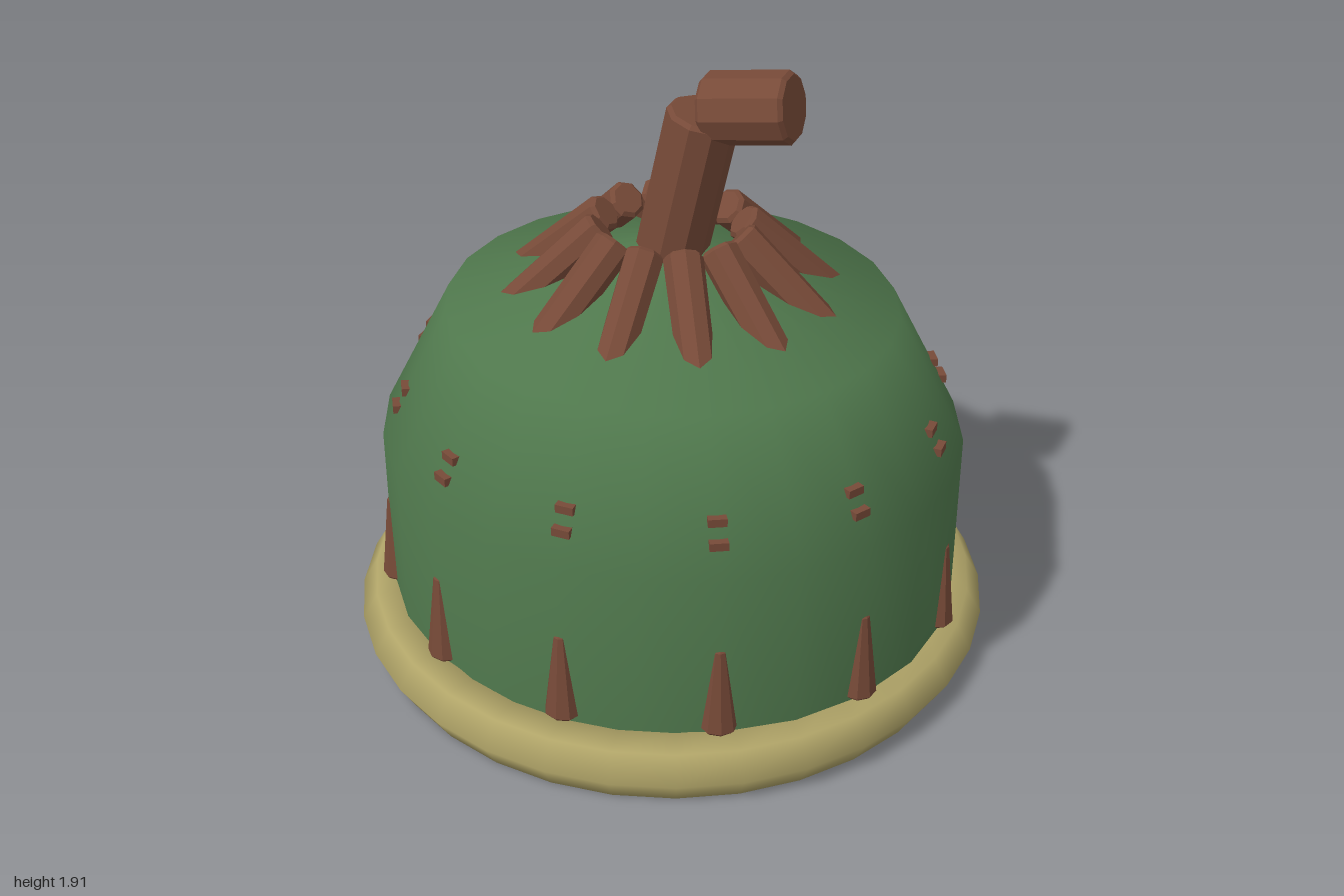
import * as THREE from 'three';

const green = new THREE.MeshStandardMaterial({ name: 'domeGreen', color: 0x4f774c });
const brown = new THREE.MeshStandardMaterial({ name: 'woodBrown', color: 0x774a38, flatShading: true });
const tan = new THREE.MeshStandardMaterial({ name: 'rimTan', color: 0xb0a468, side: THREE.DoubleSide });

function part(name, geometry, material, parent) {
  const mesh = new THREE.Mesh(geometry, material);
  mesh.name = name;
  parent.add(mesh);
  return mesh;
}

// Faceted log along y with slightly chamfered ends, centred on its length
function logGeometry(bottom, top, length, sides, chamfer = 0.012) {
  const h = length / 2;
  const profile = [
    [0, -h], [bottom - chamfer, -h], [bottom, -h + chamfer],
    [top, h - chamfer], [top - chamfer, h], [0, h],
  ].map(([x, y]) => new THREE.Vector2(x, y));
  return new THREE.LatheGeometry(profile, sides);
}

// Log placed between two points in the x-y plane
function logBetween(name, from, to, radius, parent) {
  const a = new THREE.Vector3(...from, 0);
  const b = new THREE.Vector3(...to, 0);
  const axis = b.clone().sub(a);
  const mesh = part(name, logGeometry(radius, radius, axis.length(), 10), brown, parent);
  mesh.position.copy(a).add(b).multiplyScalar(0.5);
  mesh.rotation.z = Math.atan2(-axis.x, axis.y);
}

export function createModel() {
  const model = new THREE.Group();
  model.name = 'stemmedDome';

  // Dome and its fittings are slightly narrower front to back
  const body = new THREE.Group();
  body.name = 'body';
  body.scale.z = 0.94;
  model.add(body);

  const profile = [[0.905, 0.002], [0.905, 0.7], [0.69, 1.12], [0, 1.35]]
    .map(([x, y]) => new THREE.Vector2(x, y));
  part('dome', new THREE.LatheGeometry(profile, 24), green, body);
  const base = part('domeBase', new THREE.CircleGeometry(0.905, 24), green, body);
  base.rotation.x = Math.PI / 2;
  base.position.y = 0.002;

  // Twelve repeats: crown petal, side thorn and a pair of small pegs
  const petalGeometry = logGeometry(0.056, 0.06, 0.38, 8);
  const thornGeometry = logGeometry(0.055, 0.02, 0.295, 8, 0.01);
  const pegGeometry = new THREE.BoxGeometry(0.055, 0.026, 0.04);
  const slope = THREE.MathUtils.degToRad(42);
  for (let i = 0; i < 12; i++) {
    const spoke = new THREE.Group();
    spoke.name = 'spoke';
    spoke.rotation.y = (i * Math.PI) / 6;
    body.add(spoke);

    const petal = part('crownPetal', petalGeometry, brown, spoke);
    petal.position.set(0, 1.38 - 0.19 * Math.sin(slope), 0.21 + 0.19 * Math.cos(slope));
    petal.rotation.x = slope - Math.PI / 2;

    const thorn = part('sideThorn', thornGeometry, brown, spoke);
    thorn.position.set(0, 0.318, 0.893);
    thorn.scale.z = 0.85;

    for (const [y, z] of [[0.86, 0.818], [0.8, 0.849]]) {
      part('peg', pegGeometry, brown, spoke).position.set(0, y, z);
    }
  }

  // Rim ring with a fine seam on one side
  const rim = part('rim', new THREE.TorusGeometry(0.905, 0.095, 6, 32, Math.PI * 2 - 0.016), tan, model);
  rim.geometry.rotateX(Math.PI / 2).rotateY(Math.PI);
  rim.position.y = 0.0823;

  // Bent stem
  logBetween('stem', [-0.02, 1.2], [0.1, 1.755], 0.108, model);
  logBetween('stemTip', [0.11, 1.77], [0.37, 1.815], 0.106, model);

  return model;
}
